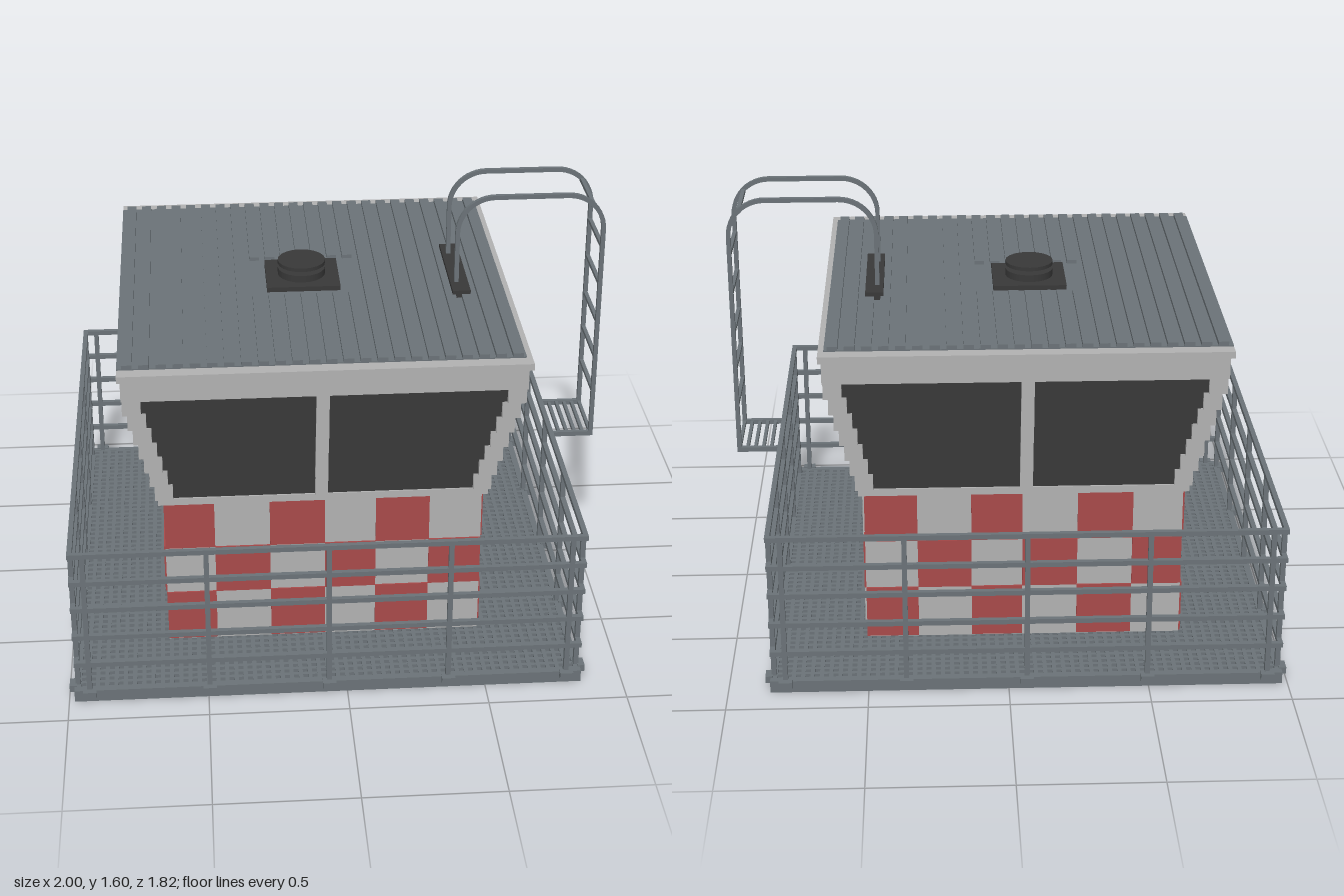
import * as THREE from 'three';

const mat = (name, color) => new THREE.MeshStandardMaterial({ name, color });

export function createModel() {
  const steel = mat('steel grey', 0x6b7378);
  const wall = mat('light grey', 0xb2b2b2);
  const red = mat('red', 0xa94a4a);
  const dark = mat('dark grey', 0x393939);

  const model = new THREE.Group();
  model.name = 'controlCabin';
  const group = (name) => {
    const g = new THREE.Group();
    g.name = name;
    model.add(g);
    return g;
  };
  // Box given by its minimum and maximum on each axis
  const box = (parent, name, m, x0, x1, y0, y1, z0, z1) => {
    const b = new THREE.Mesh(new THREE.BoxGeometry(x1 - x0, y1 - y0, z1 - z0), m);
    b.position.set((x0 + x1) / 2, (y0 + y1) / 2, (z0 + z1) / 2);
    b.name = name;
    parent.add(b);
    return b;
  };
  const CX = -0.065; // centre line of the cabin and platform

  // Platform: edge frame, open grating, beams below, tabs outside
  const platform = group('platform');
  const X0 = -0.98, X1 = 0.85, Z = 0.89;
  for (const s of [-1, 1]) {
    const z = s * (Z - 0.012), x = CX + s * 0.903;
    box(platform, 'edgeFrame', steel, X0, X1, 0, 0.045, z - 0.012, z + 0.012);
    box(platform, 'edgeFrame', steel, x - 0.012, x + 0.012, 0, 0.045, -Z, Z);
  }
  const pitch = 0.0333;
  for (let i = -27; i <= 27; i++) {
    const x = CX + i * pitch;
    box(platform, 'gratingBar', steel, x - 0.0075, x + 0.0075, 0.03, 0.044, -Z, Z);
    if (Math.abs(i) > 26) continue;
    const z = i * pitch;
    box(platform, 'gratingBar', steel, X0, X1, 0.03, 0.0435, z - 0.0075, z + 0.0075);
  }
  for (const k of [-1, 0, 1]) {
    const x = CX + k * 0.55, z = k * 0.545;
    box(platform, 'beam', steel, x - 0.028, x + 0.028, 0.004, 0.03, -Z, Z);
    box(platform, 'beam', steel, X0, X1, 0.004, 0.029, z - 0.028, z + 0.028);
  }
  box(platform, 'floorPlate', dark, -0.63, 0.5, 0.015, 0.045, -0.57, 0.57);

  // Railing: posts, tabs and five rails on every side
  const railing = group('railing');
  const rail = [0.155, 0.27, 0.385, 0.495, 0.607];
  const t = 0.009, RX = 0.903, RZ = 0.88;
  for (const s of [-1, 1]) {
    const x = CX + s * RX, z = s * RZ;
    for (const y of rail) {
      box(railing, 'rail', steel, CX - RX - t, CX + RX + t, y - t, y + t, z - t, z + t);
      box(railing, 'rail', steel, x - t, x + t, y - t, y + t, -RZ, RZ);
    }
    for (let i = -2; i <= 2; i++) {
      const px = CX + i * 0.43, pz = i * 0.42;
      box(railing, 'post', steel, px - t, px + t, 0.03, 0.607, z - t, z + t);
      box(railing, 'post', steel, x - t, x + t, 0.03, 0.607, pz - t, pz + t);
      const tz = s * 0.895, tx = CX + s * 0.92;
      box(railing, 'postTab', steel, px - 0.024, px + 0.024, 0.025, 0.05, tz - 0.016, tz + 0.016);
      box(railing, 'postTab', steel, tx - 0.013, tx + 0.013, 0.025, 0.05, pz - 0.024, pz + 0.024);
    }
  }

  // Lower walls with checker plates
  const base = group('lowerWalls');
  box(base, 'wallBody', wall, -0.64, 0.51, 0.045, 0.635, -0.58, 0.58);
  const rows = [0.05, 0.25, 0.44, 0.632];
  const colX = [-0.64, -0.46, -0.26, -0.06, 0.125, 0.32, 0.51];
  const colZ = [-0.58, -0.39, -0.2, 0, 0.19, 0.38, 0.57];
  const e = 0.006;
  for (let r = 0; r < 3; r++) {
    for (let c = 0; c < 6; c++) {
      const [y0, y1] = [rows[r], rows[r + 1]];
      const [x0, x1, z0, z1] = [colX[c], colX[c + 1], colZ[c], colZ[c + 1]];
      if ((r + c) % 2 === 0) {
        box(base, 'frontCheck', red, x0, x1, y0, y1, 0.58, 0.58 + e);
        box(base, 'sideCheck', red, -0.64 - e, -0.64, y0, y1, z0, z1);
      } else {
        box(base, 'backCheck', red, x0, x1, y0, y1, -0.58 - e, -0.58);
        // the door takes the place of one column
        if (c !== 1) box(base, 'sideCheck', red, 0.51, 0.51 + e, y0, y1, z0, c === 0 ? -0.51 : z1);
      }
    }
  }
  box(base, 'door', wall, 0.51, 0.519, 0.05, 0.62, -0.5, -0.21);

  // Flared window storey in seven steps
  const cab = group('windowStorey');
  box(cab, 'sill', wall, CX - 0.595, CX + 0.595, 0.625, 0.652, -0.59, 0.59);
  const n = 7, h = 0.066;
  for (let i = 0; i < n; i++) {
    const y0 = 0.652 + i * h, y1 = y0 + h, f = i / (n - 1);
    const hx = 0.605 + 0.098 * f, hz = 0.6 + 0.092 * f, w = 0.065, d = 0.016;
    box(cab, 'windowBand', dark, CX - hx + d, CX + hx - d, y0, y1, -hz + d, hz - d);
    for (const sx of [-1, 1]) {
      for (const sz of [-1, 1]) {
        const x = CX + sx * (hx - w / 2), z = sz * (hz - w / 2);
        box(cab, 'cornerPost', wall, x - w / 2, x + w / 2, y0, y1, z - w / 2, z + w / 2);
      }
      const mx = CX + sx * (hx - 0.03), mz = sx * (hz - 0.03);
      box(cab, 'mullion', wall, mx - 0.03, mx + 0.03, y0, y1, -0.023, 0.023);
      box(cab, 'mullion', wall, CX - 0.023 - 0.008, CX + 0.015, y0, y1, mz - 0.03, mz + 0.03);
    }
  }

  // Roof with ridges, left flat around the vent
  const roof = group('roof');
  box(roof, 'fascia', wall, CX - 0.705, CX + 0.705, 1.112, 1.205, -0.71, 0.71);
  box(roof, 'roofEdge', wall, CX - 0.715, CX + 0.715, 1.205, 1.23, -0.75, 0.75);
  box(roof, 'roofSheet', steel, -0.78, 0.63, 1.228, 1.234, -0.7, 0.7);
  for (let i = 0; i < 24; i++) {
    const x = -0.745 + i * 0.0585, w = 0.018;
    const parts = x > -0.31 && x < 0.08 ? [[-0.7, -0.17], [0.15, 0.7]] : [[-0.7, 0.7]];
    for (const [z0, z1] of parts) box(roof, 'ridge', steel, x - w, x + w, 1.232, 1.248, z0, z1);
  }

  // Roof vent
  const vent = group('vent');
  box(vent, 'ventPlate', dark, -0.24, 0.03, 1.232, 1.252, -0.135, 0.115);
  for (const [name, r, y0, y1] of [['ventBody', 0.088, 1.25, 1.278], ['ventNeck', 0.045, 1.278, 1.296], ['ventCap', 0.088, 1.294, 1.308]]) {
    const m = new THREE.Mesh(new THREE.CylinderGeometry(r, r, y1 - y0, 20), dark);
    m.position.set(-0.107, (y0 + y1) / 2, -0.01);
    m.name = name;
    vent.add(m);
  }

  // Ladder with rails arching over onto the roof
  const ladder = group('ladder');
  const path = new THREE.Path();
  path.moveTo(0.99, 0.607);
  path.lineTo(0.99, 1.455);
  path.absarc(0.855, 1.455, 0.135, 0, Math.PI / 2, false);
  path.lineTo(0.59, 1.59);
  path.absarc(0.59, 1.455, 0.135, Math.PI / 2, Math.PI, false);
  path.lineTo(0.455, 1.24);
  const pts = path.getPoints(6);
  for (const z of [-0.13, 0.125]) {
    for (let i = 1; i < pts.length; i++) {
      const a = pts[i - 1], b = pts[i], len = a.distanceTo(b);
      if (len < 1e-4) continue;
      const seg = new THREE.Mesh(new THREE.BoxGeometry(len + 0.006, 0.016, 0.016), steel);
      seg.position.set((a.x + b.x) / 2, (a.y + b.y) / 2, z);
      seg.rotation.z = Math.atan2(b.y - a.y, b.x - a.x);
      seg.name = 'ladderRail';
      ladder.add(seg);
    }
    box(ladder, 'ladderBracket', steel, 0.83, 0.998, 0.598, 0.616, z - 0.008, z + 0.008);
  }
  for (const [x, y] of [[0.99, 0.79], [0.99, 0.935], [0.99, 1.08], [0.99, 1.235], [0.99, 1.385], [0.95, 1.548]]) {
    box(ladder, 'rung', steel, x - 0.007, x + 0.007, y - 0.007, y + 0.007, -0.13, 0.125);
  }
  for (let i = 0; i < 5; i++) {
    const x = 0.87 + i * 0.03;
    box(ladder, 'stepBar', steel, x - 0.006, x + 0.006, 0.6, 0.614, -0.13, 0.125);
  }
  box(ladder, 'ladderFoot', dark, 0.432, 0.498, 1.232, 1.262, -0.215, 0.21);

  return model;
}
